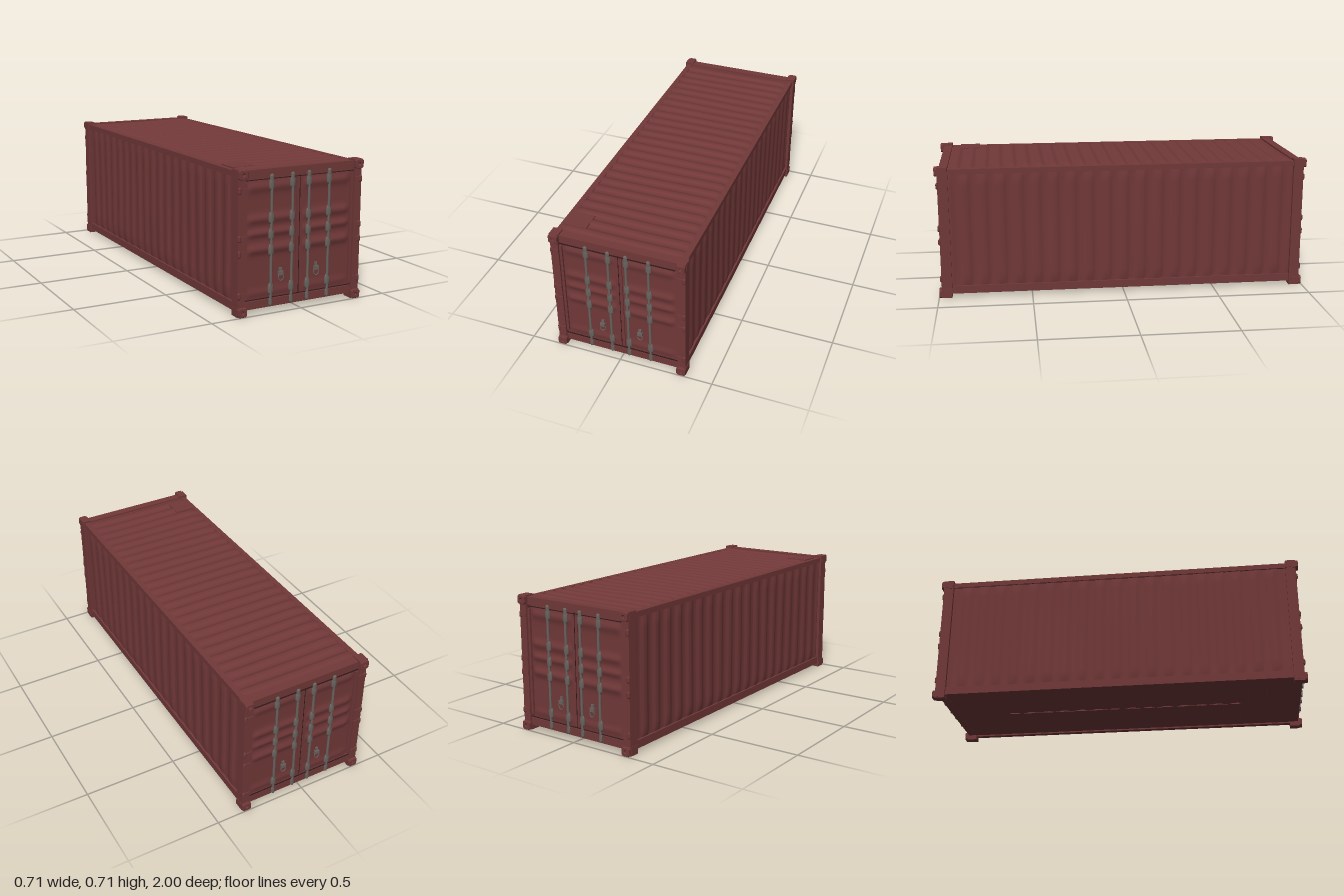
import * as THREE from 'three';

export function createModel() {
  const root = new THREE.Group();
  root.name = 'shippingContainer';
  const paint = new THREE.MeshStandardMaterial({ name: 'red oxide paint', color: 0x713838 });
  const steel = new THREE.MeshStandardMaterial({ name: 'bare steel', color: 0x6a625d });
  const dark = new THREE.MeshStandardMaterial({ name: 'dark seam', color: 0x2e1a1a });

  const add = (parent, name, geo, mat, x = 0, y = 0, z = 0) => {
    const m = new THREE.Mesh(geo, mat);
    m.name = name;
    m.position.set(x, y, z);
    parent.add(m);
    return m;
  };
  const box = (parent, name, w, h, d, x, y, z, mat = paint) =>
    add(parent, name, new THREE.BoxGeometry(w, h, d), mat, x, y, z);
  const smooth = THREE.MathUtils.smoothstep;

  // Sheet facing +z whose surface is raised by rule(x, y)
  const sheet = (w, h, nx, ny, rule) => {
    const g = new THREE.PlaneGeometry(w, h, nx, ny);
    const p = g.attributes.position;
    for (let i = 0; i < p.count; i++) p.setZ(i, rule(p.getX(i), p.getY(i)));
    g.computeVertexNormals();
    return g;
  };
  // Rounded ribs along the length that fade out at the rim, with slight dents
  const ribs = (w, h, count, depth, fade, dent) => sheet(w, h, count * 10, 16, (x, y) => {
    const rim = smooth(h / 2 - Math.abs(y), 0, fade) * smooth(w / 2 - Math.abs(x), 0, 0.03);
    const wave = smooth(Math.cos((x / w) * count * Math.PI * 2), -0.75, 0.75);
    return rim * (depth * wave + dent * Math.sin(x * 7 + 1) * Math.cos(y * 6 + x * 3));
  });

  // Ribbed side walls
  for (const s of [-1, 1]) {
    const wall = add(root, s > 0 ? 'leftWall' : 'rightWall',
      ribs(1.88, 0.64, 20, 0.009, 0.03, 0.002), paint, s * 0.334, 0.37, 0);
    wall.rotation.y = s * Math.PI / 2;
    box(root, 'bottomSideRail', 0.03, 0.042, 1.88, s * 0.331, 0.041, 0);
    box(root, 'topSideRail', 0.03, 0.028, 1.88, s * 0.329, 0.689, 0);
  }

  // Ribbed roof
  const roofGeo = ribs(1.93, 0.67, 26, 0.009, 0.035, 0.003);
  roofGeo.rotateZ(Math.PI / 2);
  roofGeo.rotateX(-Math.PI / 2);
  add(root, 'roof', roofGeo, paint, 0, 0.7, 0);
  box(root, 'roofPatch', 0.12, 0.006, 0.11, -0.265, 0.708, 0.825);

  // Underside with shallow cross members and a centre beam
  const floorGeo = ribs(1.92, 0.64, 20, 0.005, 0.03, 0.001);
  floorGeo.rotateZ(Math.PI / 2);
  floorGeo.rotateX(Math.PI / 2);
  add(root, 'floor', floorGeo, paint, 0, 0.028, 0);
  box(root, 'floorBeam', 0.03, 0.008, 1.3, 0, 0.025, 0);

  // Corner casting face with a hexagonal socket
  const castShape = new THREE.Shape();
  const cw = 0.022, ch = 0.021, c = 0.006;
  castShape.setFromPoints([[-cw + c, -ch], [cw - c, -ch], [cw, -ch + c], [cw, ch - c],
    [cw - c, ch], [-cw + c, ch], [-cw, ch - c], [-cw, -ch + c]].map(q => new THREE.Vector2(...q)));
  const socket = new THREE.Path();
  socket.setFromPoints(Array.from({ length: 6 }, (_, i) =>
    new THREE.Vector2(Math.cos(-i * Math.PI / 3) * 0.011, Math.sin(-i * Math.PI / 3) * 0.011)));
  castShape.holes.push(socket);
  const castGeo = new THREE.ExtrudeGeometry(castShape,
    { depth: 0.012, bevelEnabled: true, bevelSize: 0.002, bevelThickness: 0.002, bevelSegments: 1 });

  // Vertical rod with rounded tips
  const rodGeo = new THREE.CapsuleGeometry(0.007, 0.636, 4, 10);
  // Swollen clamp around a rod
  const clampGeo = new THREE.LatheGeometry([[0, -0.03], [0.009, -0.029], [0.012, -0.02], [0.0155, -0.014],
    [0.0155, 0.014], [0.012, 0.02], [0.009, 0.029], [0, 0.03]].map(q => new THREE.Vector2(...q)), 10);
  clampGeo.scale(1, 1, 0.65);
  const tipGeo = new THREE.CapsuleGeometry(0.011, 0.02, 4, 10);
  tipGeo.scale(1, 1, 0.7);
  const ringGeo = new THREE.TorusGeometry(0.015, 0.0028, 6, 16);
  ringGeo.scale(1, 1.25, 1);

  // Pressed bulges across a door leaf: [height, spread, depth]
  const bulges = [[0.62, 0.024, 0.008], [0.465, 0.022, 0.009], [0.395, 0.018, 0.009],
    [0.315, 0.022, 0.01], [0.1, 0.018, 0.004]];
  const leafGeo = sheet(0.285, 0.62, 20, 90, (x, y) => {
    const rim = smooth(0.1425 - Math.abs(x), 0, 0.03);
    return rim * bulges.reduce((sum, [h, s, d]) => sum + d * Math.exp(-(((y + 0.365 - h) / s) ** 2)), 0);
  });

  // One full end: frame, castings, doors and lock gear
  const buildEnd = (name) => {
    const end = new THREE.Group();
    end.name = name;
    box(end, 'topBeam', 0.64, 0.042, 0.045, 0, 0.687, 0.953);
    box(end, 'bottomBeam', 0.64, 0.04, 0.045, 0, 0.046, 0.953);
    box(end, 'doorCentre', 0.034, 0.62, 0.02, 0, 0.365, 0.958);
    box(end, 'doorSeam', 0.003, 0.6, 0.002, 0, 0.365, 0.9685, dark);
    box(end, 'topGap', 0.66, 0.003, 0.006, 0, 0.659, 0.974, dark);
    box(end, 'bottomGap', 0.66, 0.003, 0.006, 0, 0.072, 0.974, dark);
    for (const s of [-1, 1]) {
      add(end, 'doorLeaf', leafGeo, paint, s * 0.158, 0.365, 0.962);
      // Posts and castings
      box(end, 'cornerPost', 0.042, 0.63, 0.055, s * 0.332, 0.358, 0.957);
      box(end, 'postLip', 0.018, 0.56, 0.012, s * 0.307, 0.365, 0.968);
      for (const y of [0.023, 0.692]) {
        box(end, 'cornerCasting', 0.048, 0.046, 0.055, s * 0.331, y, 0.9575);
        add(end, 'castingSocket', castGeo, paint, s * 0.331, y, 0.985);
        box(end, 'castingCheek', 0.004, 0.032, 0.04, s * 0.354, y, 0.958);
      }
      // Hinges
      for (const y of [0.615, 0.385, 0.31, 0.105]) {
        const pin = add(end, 'hingePin', new THREE.CapsuleGeometry(0.009, 0.018, 3, 8), paint, s * 0.346, y, 0.984);
        pin.scale.x = 1.05;
        box(end, 'hingeLeaf', 0.034, 0.022, 0.01, s * 0.327, y, 0.984);
      }
      // Pull ring on its lug
      const rx = s * 0.103;
      add(end, 'pullRing', ringGeo, steel, rx, 0.166, 0.972);
      box(end, 'ringLug', 0.026, 0.02, 0.014, rx, 0.185, 0.969, steel);
      box(end, 'ringPlate', 0.014, 0.036, 0.008, rx, 0.195, 0.966, steel);
    }
    // Locking rods
    for (const x of [-0.167, -0.049, 0.045, 0.163]) {
      add(end, 'lockRod', rodGeo, steel, x, 0.355, 0.981);
      for (const y of [0.632, 0.468, 0.388, 0.31, 0.116])
        add(end, 'rodClamp', clampGeo, steel, x, y, 0.979);
      for (const y of [0.662, 0.052])
        add(end, 'rodCam', tipGeo, steel, x, y, 0.98);
    }
    root.add(end);
    return end;
  };
  buildEnd('frontDoors');
  buildEnd('rearDoors').rotation.y = Math.PI;
  return root;
}
